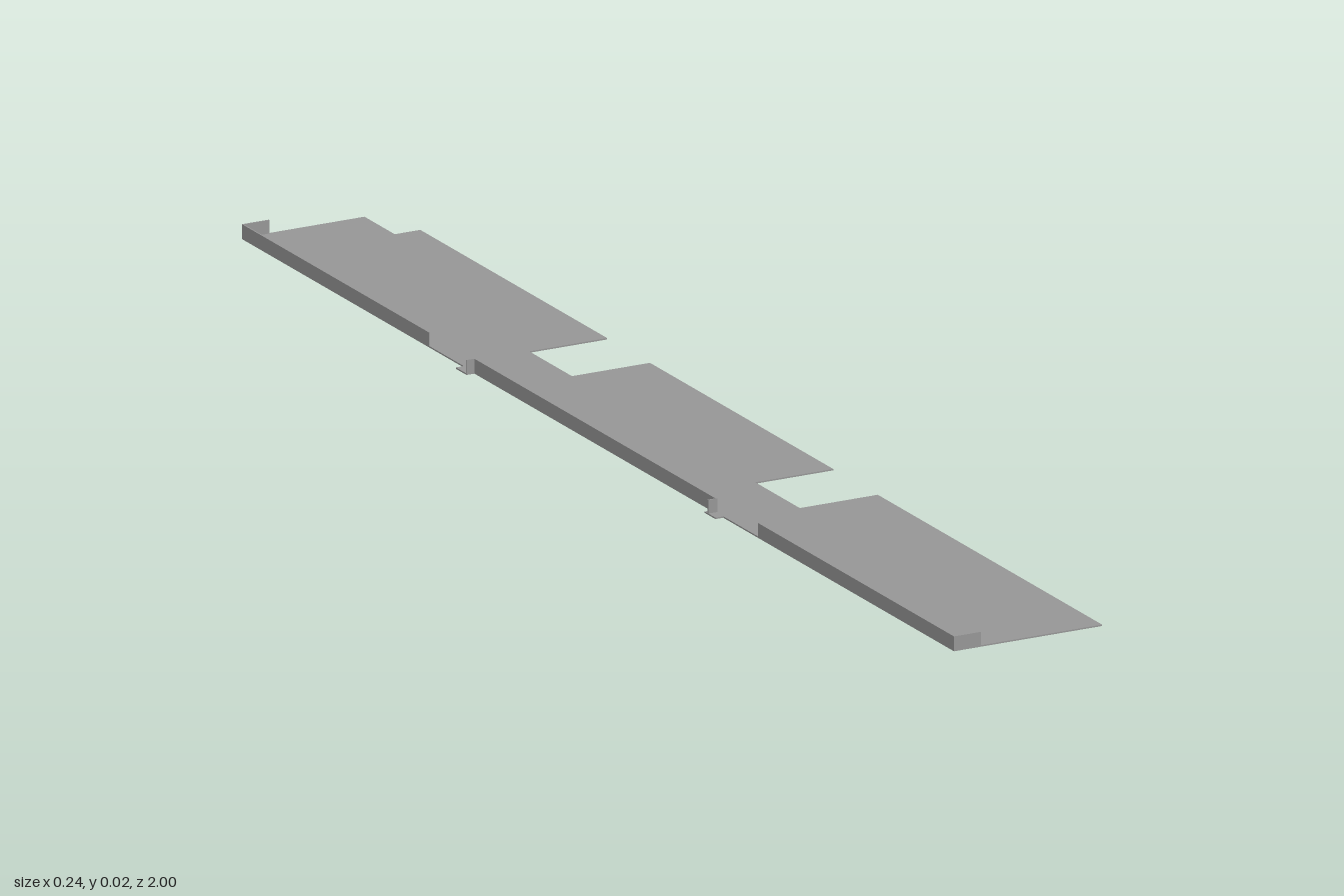
import * as THREE from 'three';

export function createModel() {
  const group = new THREE.Group();
  const metal = new THREE.MeshStandardMaterial({ color: 0x989898 });
  metal.name = 'sheet grey';

  const T = 0.002; // sheet thickness
  const H = 0.021; // flange height
  const L = -0.107, R = 0.119, TAB = -0.119;

  // Flat floor sheet with notches on the left and small tabs on the right.
  // Shape coordinates are (x, -z), so the extrusion ends up pointing up.
  const outline = [
    [L, 1], [R, 1], [R, 0.37], [0, 0.37], [0, 0.245], [R, 0.245],
    [R, -0.27], [0, -0.27], [0, -0.39], [R, -0.39], [R, -0.915],
    [0.08, -0.915], [0.08, -1], [L, -1],
    [L, -0.377], [TAB, -0.377], [TAB, -0.347], [L, -0.347],
    [L, 0.322], [TAB, 0.322], [TAB, 0.352], [L, 0.352],
  ];
  const shape = new THREE.Shape(outline.map(([x, z]) => new THREE.Vector2(x, -z)));
  const floorGeometry = new THREE.ExtrudeGeometry(shape, { depth: T, bevelEnabled: false });
  floorGeometry.rotateX(-Math.PI / 2);
  const floor = new THREE.Mesh(floorGeometry, metal);
  floor.name = 'floorSheet';
  group.add(floor);

  // Upright plate given by its x and z limits
  function addFlange(name, x0, x1, z0, z1) {
    const mesh = new THREE.Mesh(new THREE.BoxGeometry(x1 - x0, H, z1 - z0), metal);
    mesh.position.set((x0 + x1) / 2, H / 2, (z0 + z1) / 2);
    mesh.name = name;
    group.add(mesh);
  }

  // Long side flanges, with two gaps
  addFlange('frontSideFlange', L, L + T, 0.45, 1);
  addFlange('middleSideFlange', L, L + T, -0.347, 0.332);
  addFlange('backSideFlange', L, L + T, -1, -0.475);

  // End flanges turned inwards
  addFlange('frontEndFlange', L, -0.066, 1 - T, 1);
  addFlange('backEndFlange', L, -0.066, -1, -1 + T);

  // Ends of the middle flange turned outwards
  addFlange('frontLip', TAB, L + T, 0.332 - T, 0.332);
  addFlange('backLip', TAB, L + T, -0.347 - T, -0.347);

  return group;
}
